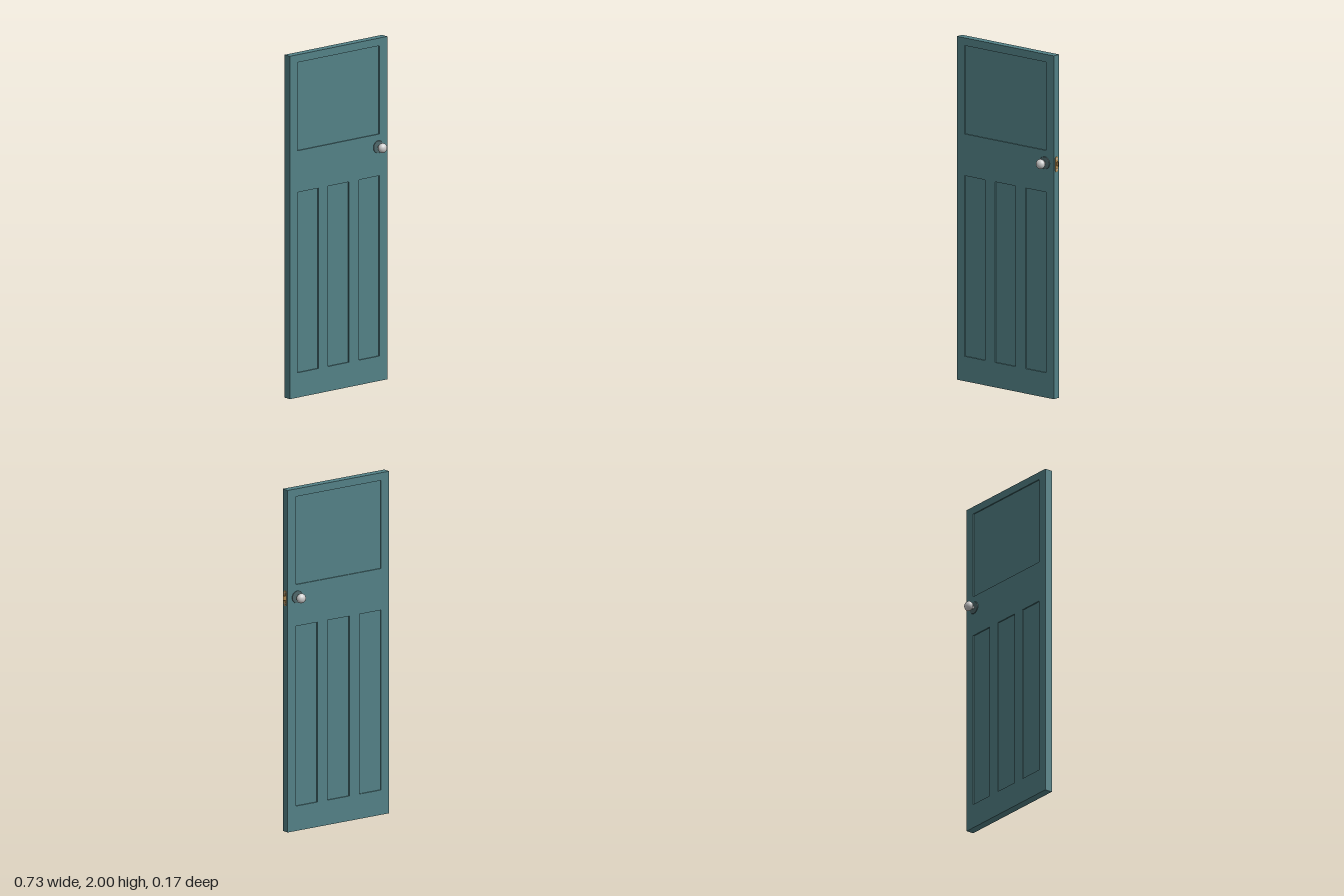
import * as THREE from 'three';

const mat = (color) => new THREE.MeshStandardMaterial({ color });
const LEFT = -0.364, RIGHT = 0.346, HALF = 0.023;
const KNOB_X = 0.28, KNOB_Y = 1.367;

// Panel openings: x0, x1, y0, y1
const openings = [
  [-0.307, 0.289, 1.44, 1.955],
  [-0.307, -0.157, 0.145, 1.197],
  [-0.085, 0.066, 0.145, 1.197],
  [0.139, 0.289, 0.145, 1.197],
];

function rect(Type, x0, x1, y0, y1) {
  const r = new Type();
  r.moveTo(x0, y0).lineTo(x1, y0).lineTo(x1, y1).lineTo(x0, y1).closePath();
  return r;
}

function extrude(shape, depth) {
  return new THREE.ExtrudeGeometry(shape, { depth, bevelEnabled: false, curveSegments: 16 });
}

export function createModel() {
  const door = new THREE.Group();
  door.name = 'door';
  const paint = mat(0x528085), steel = mat(0xcccccc), dark = mat(0x4d6669), brass = mat(0xb08a50);
  const add = (parent, name, geometry, material) => {
    const mesh = new THREE.Mesh(geometry, material);
    mesh.name = name;
    parent.add(mesh);
    return mesh;
  };

  // Stiles and rails in one slab with four openings
  const slab = rect(THREE.Shape, LEFT, RIGHT, 0, 2);
  openings.forEach((o) => slab.holes.push(rect(THREE.Path, ...o)));
  add(door, 'frame', extrude(slab, HALF * 2), paint).position.z = -HALF;

  // Recessed panels
  for (const [x0, x1, y0, y1] of openings) {
    add(door, 'panel', new THREE.BoxGeometry(x1 - x0, y1 - y0, 0.032), paint)
      .position.set((x0 + x1) / 2, (y0 + y1) / 2, 0);
  }

  // Knob with neck, and its rose, on both faces
  const points = (list) => list.map(([r, z]) => new THREE.Vector2(r, z));
  const rose = new THREE.LatheGeometry(points([
    [0.036, 0], [0.036, 0.0025], [0.034, 0.0045], [0, 0.0045],
  ]), 40);
  const profile = points([[0.008, 0], [0.008, 0.009], [0.01, 0.014]]);
  for (let i = 0; i <= 16; i++) {
    const a = -1.15 + (i / 16) * (Math.PI / 2 + 1.15);
    profile.push(new THREE.Vector2(Math.max(0, 0.028 * Math.cos(a)), 0.039 + 0.0235 * Math.sin(a)));
  }
  const knob = new THREE.LatheGeometry(profile, 40);
  for (const side of [1, -1]) {
    const handle = new THREE.Group();
    handle.name = side > 0 ? 'frontHandle' : 'backHandle';
    handle.position.set(KNOB_X, KNOB_Y, side * HALF);
    handle.rotation.x = side * Math.PI / 2;
    add(handle, 'rose', rose, dark);
    add(handle, 'knob', knob, steel);
    door.add(handle);
  }

  // Round-ended latch plate on the door edge
  const plate = new THREE.Shape();
  plate.absarc(0, 0.033, 0.012, 0, Math.PI).absarc(0, -0.033, 0.012, Math.PI, Math.PI * 2).closePath();
  const latchPlate = add(door, 'latchPlate', extrude(plate, 0.0025), brass);
  latchPlate.rotation.y = Math.PI / 2;
  latchPlate.position.set(RIGHT, KNOB_Y - 0.002, 0);

  // Wedge-shaped latch bolt, flat towards the front
  const wedge = new THREE.Shape();
  wedge.moveTo(0, -0.002).lineTo(0.016, -0.002).lineTo(0.016, 0).lineTo(0, 0.01).closePath();
  const bolt = add(door, 'latchBolt', extrude(wedge, 0.024), brass);
  bolt.rotation.x = -Math.PI / 2;
  bolt.position.set(RIGHT, KNOB_Y - 0.012, 0);

  // Plate screws
  for (const dy of [-0.031, 0.031]) {
    const screw = add(door, 'screw', new THREE.CylinderGeometry(0.005, 0.005, 0.002, 16), steel);
    screw.rotation.z = -Math.PI / 2;
    screw.position.set(RIGHT + 0.0025, KNOB_Y - 0.002 + dy, 0);
  }
  return door;
}
